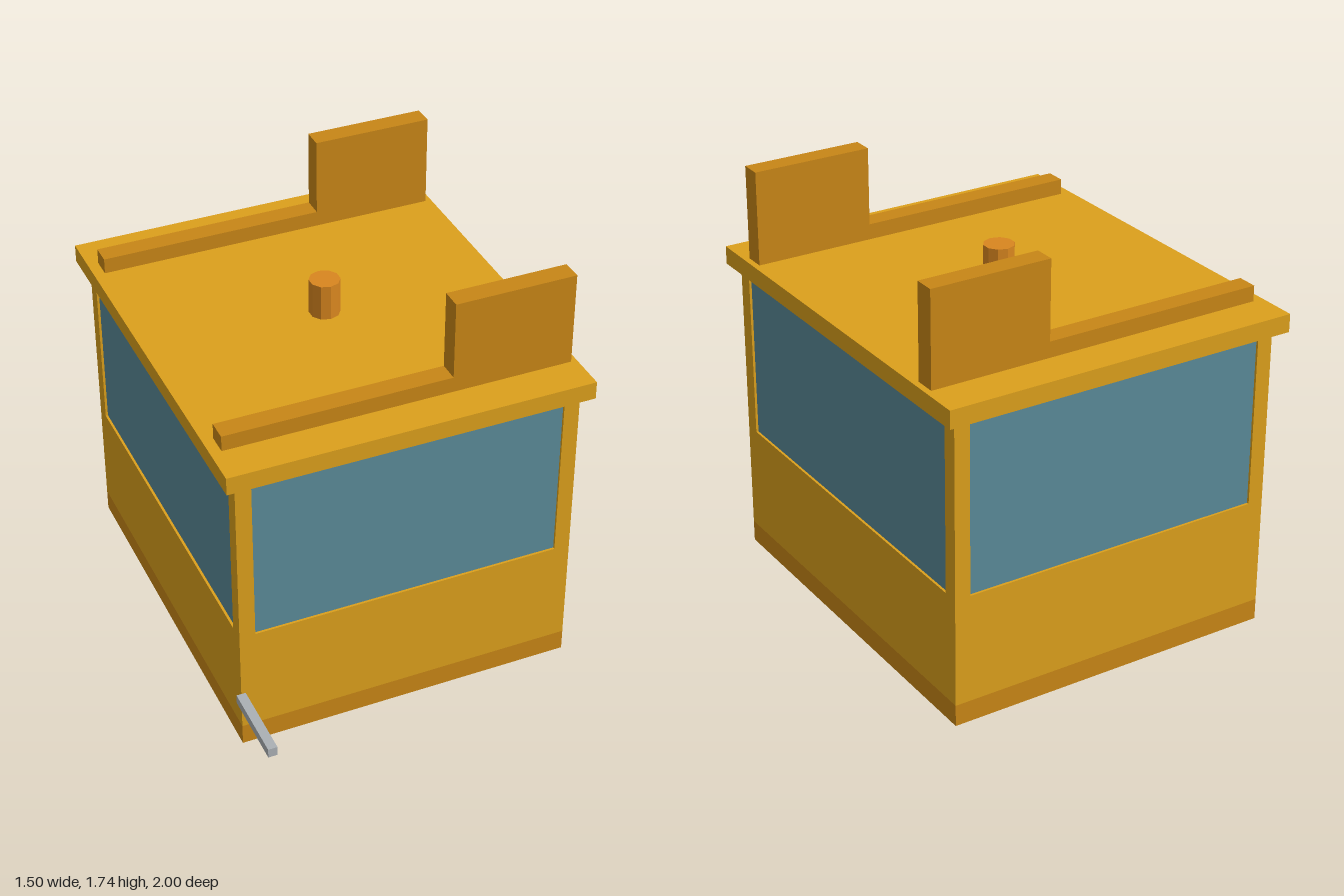
import * as THREE from 'three';

const paint = (color) => new THREE.MeshStandardMaterial({ color, flatShading: true });

export function createModel() {
  const model = new THREE.Group();
  model.name = 'cabin';
  const yellow = paint(0xdca01c), amber = paint(0xc88616), orange = paint(0xd9861f);
  const glass = paint(0x5a8a98), steel = paint(0xaab0b4);

  const add = (name, geometry, material) => {
    const mesh = new THREE.Mesh(geometry, material);
    mesh.name = name;
    model.add(mesh);
    return mesh;
  };
  // Box given by its limits on each axis
  const box = (name, material, [x0, x1], [y0, y1], [z0, z1]) =>
    add(name, new THREE.BoxGeometry(x1 - x0, y1 - y0, z1 - z0), material)
      .position.set((x0 + x1) / 2, (y0 + y1) / 2, (z0 + z1) / 2);

  const X = 0.705, front = 0.675, back = -0.955, post = 0.065, inset = 0.01;
  const sill = 0.545, eave = 1.275, roofTop = 1.35;

  // Cabin body: base band, lower walls, glazing set back between corner posts
  box('baseBand', amber, [-X, X], [0, 0.09], [back, front]);
  box('lowerWalls', yellow, [-X, X], [0.09, sill], [back, front]);
  box('windows', glass, [-X + inset, X - inset], [sill, eave], [back + inset, front - inset]);
  for (const x of [-X, X - post])
    for (const z of [back, front - post])
      box('cornerPost', yellow, [x, x + post], [sill, eave], [z, z + post]);

  // Overhanging roof
  box('roof', yellow, [-0.75, 0.75], [eave, roofTop], [-1, 0.715]);

  // Roof rails, each a low bar stepping up to a tall panel
  const profile = new THREE.Shape([
    [-0.705, 0], [0.725, 0], [0.725, 0.39], [0.225, 0.39], [0.225, 0.065], [-0.705, 0.065],
  ].map(([x, y]) => new THREE.Vector2(x, y)));
  for (const z of [0.47, -0.835])
    add('roofRail', new THREE.ExtrudeGeometry(profile, { depth: 0.085, bevelEnabled: false }), amber)
      .position.set(0, roofTop, z);

  // Ten-sided beacon on the roof
  add('beacon', new THREE.CylinderGeometry(0.063, 0.063, 0.15, 10), orange)
    .position.set(0, roofTop + 0.075, -0.143);

  // Bar reaching forward from the front corner
  box('frontBar', steel, [-0.725, -0.687], [0.22, 0.26], [front, 1]);

  return model;
}
